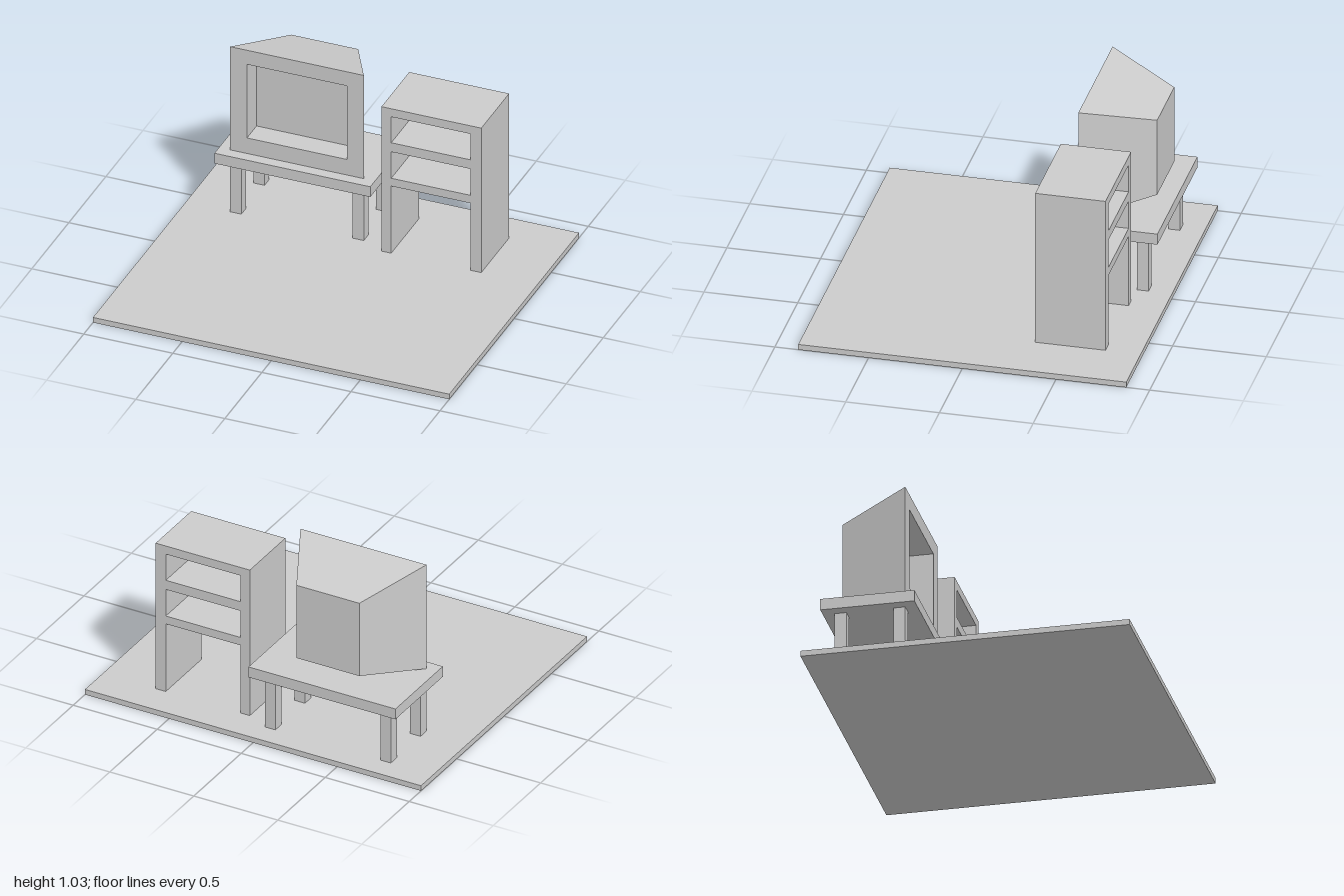
import * as THREE from 'three';

const material = new THREE.MeshStandardMaterial({ color: 0xcccccc, flatShading: true });

function addMesh(parent, name, geometry) {
  const mesh = new THREE.Mesh(geometry, material);
  mesh.name = name;
  parent.add(mesh);
  return mesh;
}

// Box given by its minimum and maximum corners
function addBox(parent, name, [x0, y0, z0], [x1, y1, z1]) {
  const mesh = addMesh(parent, name, new THREE.BoxGeometry(x1 - x0, y1 - y0, z1 - z0));
  mesh.position.set((x0 + x1) / 2, (y0 + y1) / 2, (z0 + z1) / 2);
}

// Rectangle in the xy plane, anticlockwise from the front
const rect = (x0, y0, x1, y1) => [[x0, y0], [x1, y0], [x1, y1], [x0, y1]];

// Joins rectangular sections in order and caps both ends
function loftRects(sections) {
  const rings = sections.map(([z, ...r]) => rect(...r).map(([x, y]) => [x, y, z]));
  const positions = [];
  const quad = (a, b, c, d) => positions.push(...[a, b, c, a, c, d].flat());
  for (let i = 0; i < rings.length - 1; i++) {
    for (let k = 0; k < 4; k++) {
      const n = (k + 1) % 4;
      quad(rings[i][k], rings[i][n], rings[i + 1][n], rings[i + 1][k]);
    }
  }
  quad(...[...rings[0]].reverse());
  quad(...rings[rings.length - 1]);
  const geometry = new THREE.BufferGeometry();
  geometry.setAttribute('position', new THREE.Float32BufferAttribute(positions, 3));
  geometry.computeVertexNormals();
  return geometry;
}

export function createModel() {
  const model = new THREE.Group();
  model.name = 'televisionCorner';

  const floorTop = 0.031;
  addBox(model, 'floor', [-1, 0, -0.875], [1, floorTop, 0.875]);

  // Low table with four square legs
  const table = new THREE.Group();
  table.name = 'table';
  model.add(table);
  addBox(table, 'tableTop', [-0.8125, 0.344, -0.8125], [0.0625, 0.406, -0.3125]);
  for (const x of [-0.75, -0.0625]) {
    for (const z of [-0.75, -0.4375]) {
      addBox(table, 'tableLeg', [x, floorTop, z], [x + 0.0625, 0.344, z + 0.0625]);
    }
  }

  // Television: small back, flared casing, front frame, sunken screen
  addMesh(model, 'television', loftRects([
    [-0.75, -0.5625, 0.5, -0.1875, 0.9375],
    [-0.375, -0.75, 0.406, 0, 1.031],
    [-0.375, -0.656, 0.5, -0.094, 0.9455],
    [-0.505, -0.656, 0.5, -0.094, 0.9455],
  ]));

  // Open shelf unit: one frame outline with through openings
  const toPath = (PathType, points) => new PathType(points.map(([x, y]) => new THREE.Vector2(x, y)));
  const outline = toPath(THREE.Shape, [
    [0.125, floorTop], [0.18, floorTop], [0.18, 0.4375], [0.625, 0.4375],
    [0.625, floorTop], [0.6855, floorTop], [0.6855, 0.906], [0.125, 0.906],
  ]);
  for (const [y0, y1] of [[0.485, 0.645], [0.7, 0.857]]) {
    outline.holes.push(toPath(THREE.Path, rect(0.18, y0, 0.625, y1)));
  }
  const shelf = addMesh(model, 'shelfUnit',
    new THREE.ExtrudeGeometry(outline, { depth: 0.375, bevelEnabled: false }));
  shelf.position.z = -0.6875;

  return model;
}
